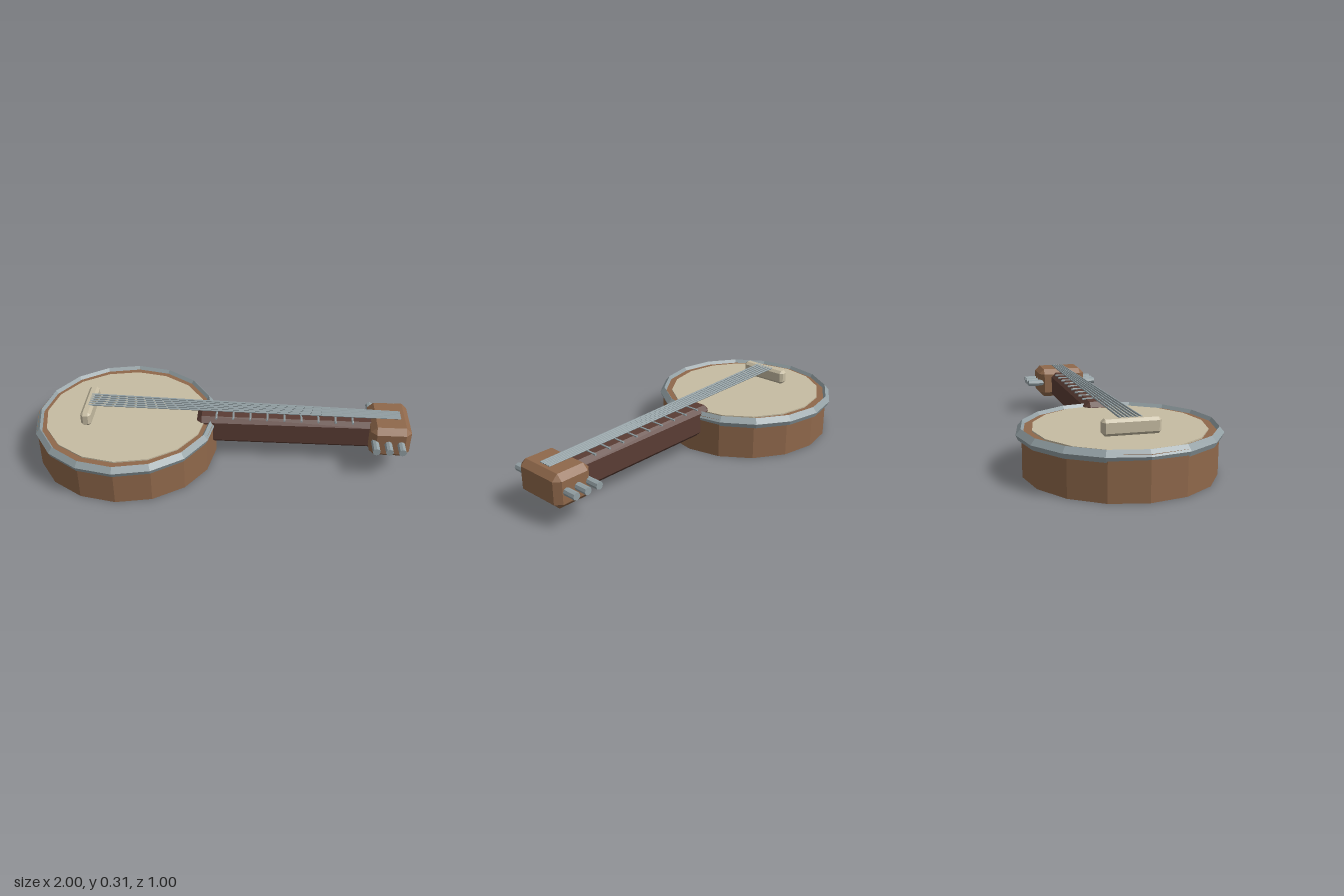
import * as THREE from 'three';
import { ConvexGeometry } from 'three/addons/geometries/ConvexGeometry.js';

const material = (name, color) => {
  const m = new THREE.MeshStandardMaterial({ color, flatShading: true });
  m.name = name;
  return m;
};

// Box given by its limits, with every edge and corner cut by c
function chamferBox(x0, x1, y0, y1, z0, z1, c) {
  const half = [(x1 - x0) / 2, (y1 - y0) / 2, (z1 - z0) / 2];
  const points = [];
  for (const sx of [-1, 1]) for (const sy of [-1, 1]) for (const sz of [-1, 1])
    for (let axis = 0; axis < 3; axis++) {
      const p = [sx, sy, sz].map((s, i) => s * (half[i] - (i === axis ? 0 : c)));
      points.push(new THREE.Vector3(...p));
    }
  return new ConvexGeometry(points).translate((x0 + x1) / 2, (y0 + y1) / 2, (z0 + z1) / 2);
}

// Thin rod between two points
function rod(a, b, radius, sides) {
  const dir = b.clone().sub(a);
  const g = new THREE.CylinderGeometry(radius, radius, dir.length(), sides);
  g.applyQuaternion(new THREE.Quaternion().setFromUnitVectors(
    new THREE.Vector3(0, 1, 0), dir.clone().normalize()));
  return g.translate((a.x + b.x) / 2, (a.y + b.y) / 2, (a.z + b.z) / 2);
}

export function createModel() {
  const model = new THREE.Group();
  model.name = 'banjo';
  const wood = material('wood', 0x8f684b);
  const darkWood = material('darkWood', 0x5a3c34);
  const skin = material('skin', 0xc6bca2);
  const metal = material('metal', 0x93a0a4);
  const V = (x, y, z) => new THREE.Vector3(x, y, z);

  const add = (name, geometry, mat, parent = model) => {
    const mesh = new THREE.Mesh(geometry, mat);
    mesh.name = name;
    parent.add(mesh);
    return mesh;
  };
  const addGroup = (name) => {
    const g = new THREE.Group();
    g.name = name;
    model.add(g);
    return g;
  };

  // Pot: sixteen-sided wooden body, drum skin and metal rim
  const potX = -0.508;
  const body = add('body', new THREE.CylinderGeometry(0.47, 0.47, 0.215, 16), wood);
  body.position.set(potX, 0.1075, 0);
  body.scale.x = 1.03;

  const drumSkin = add('drumSkin', new THREE.CylinderGeometry(0.42, 0.42, 0.02, 16), skin);
  drumSkin.position.set(potX, 0.212, 0);
  drumSkin.scale.x = 1.03;

  const rimProfile = [[0.46, 0.18], [0.487, 0.18], [0.498, 0.205], [0.474, 0.233],
    [0.462, 0.215], [0.46, 0.18]].map(([r, y]) => new THREE.Vector2(r, y));
  const rim = add('rim', new THREE.LatheGeometry(rimProfile, 16), metal);
  rim.position.x = potX;
  rim.scale.x = 0.985;

  // Bridge, neck and headstock
  add('bridge', chamferBox(-0.73, -0.675, 0.228, 0.306, -0.14, 0.14, 0.014), skin);
  add('neck', chamferBox(-0.125, 0.88, 0.09, 0.25, -0.068, 0.064, 0.026), darkWood);
  add('headstock', chamferBox(0.79, 1.0, 0.096, 0.272, -0.143, 0.145, 0.03), wood);

  // Frets across the neck
  const frets = addGroup('frets');
  for (let i = 0; i < 9; i++) {
    const x = -0.02 + i * 0.09;
    add('fret', rod(V(x, 0.25, -0.062), V(x, 0.25, 0.058), 0.006, 6), metal, frets);
  }

  // Tuning pegs on both sides of the headstock
  const pegs = addGroup('tuningPegs');
  for (const x of [0.815, 0.882, 0.948])
    for (const side of [-1, 1])
      add('tuningPeg', rod(V(x, 0.187, side * 0.11), V(x, 0.187, side * 0.214), 0.02, 8), metal, pegs);

  // Strings, fanning out slightly towards the bridge
  const strings = addGroup('strings');
  for (let i = 0; i < 6; i++) {
    const t = i / 5 - 0.5;
    add('string', rod(V(-0.7, 0.305, t * 0.1), V(0.95, 0.273, t * 0.06), 0.005, 6), metal, strings);
  }

  return model;
}
